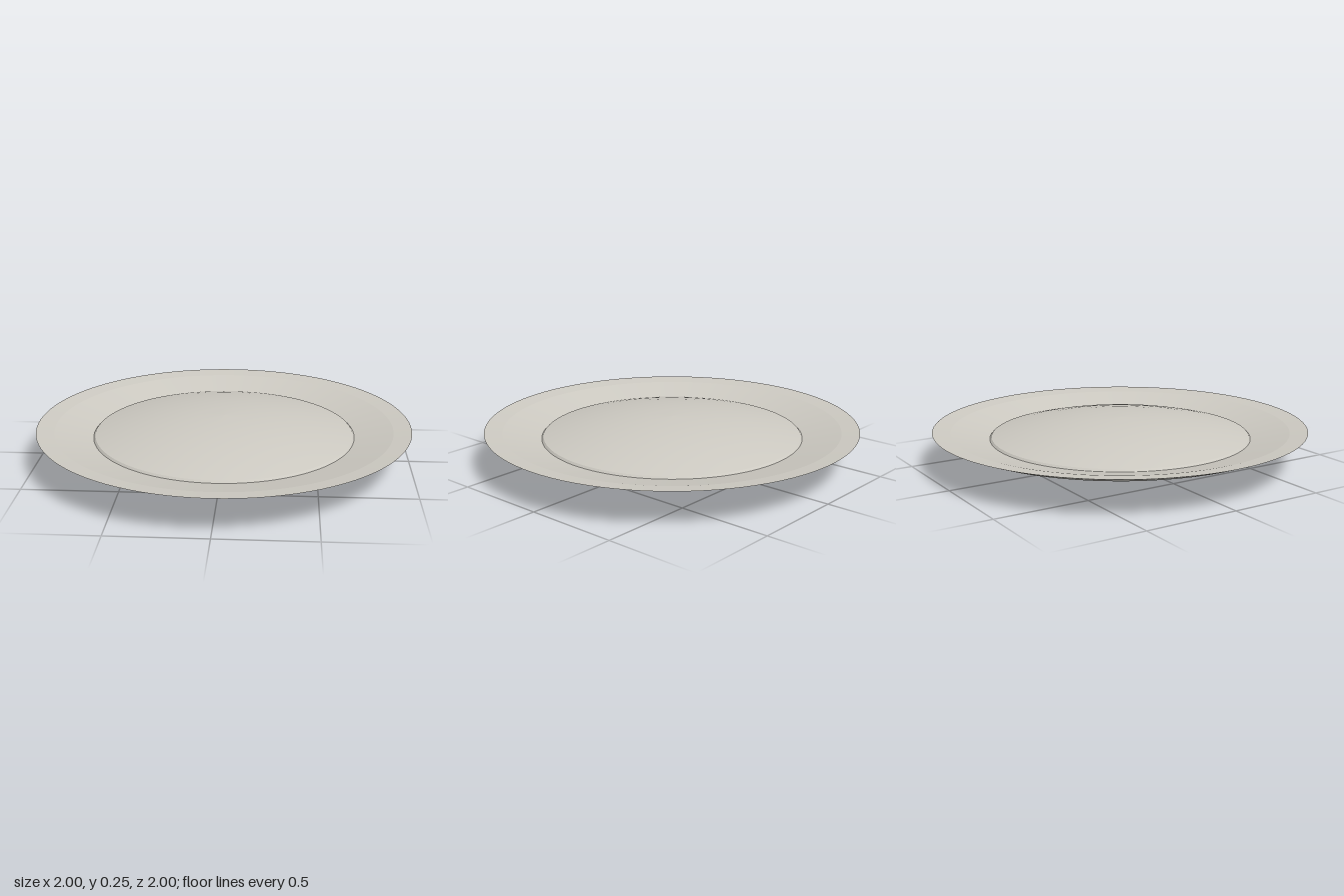
import * as THREE from 'three';

export function createModel() {
  const group = new THREE.Group();
  group.name = 'saucer';
  const ceramic = new THREE.MeshStandardMaterial({ color: 0xcdcac2 });
  ceramic.name = 'warm grey ceramic';

  // Each part is a ring turned around y; profiles run from the base outwards and back over the top.
  const turn = (name, profile) => {
    const points = profile.map(([r, y]) => new THREE.Vector2(r, y));
    const mesh = new THREE.Mesh(new THREE.LatheGeometry(points, 96), ceramic);
    mesh.name = name;
    group.add(mesh);
  };

  // Foot
  turn('footBase', [[0, 0], [0.375, 0]]);
  turn('footWall', [[0.375, 0], [0.39, 0.05]]);

  // Underside
  turn('underside', [[0.39, 0.05], [0.905, 0.163]]);
  turn('rimUnderside', [[0.905, 0.163], [1, 0.2]]);

  // Upper side: shallow rim, sloping well, small step and raised centre
  turn('rimTop', [[1, 0.2], [0.905, 0.19]]);
  turn('well', [[0.905, 0.19], [0.7, 0.145]]);
  turn('domeStep', [[0.7, 0.145], [0.69, 0.156]]);
  const dome = [0.69, 0.6, 0.48, 0.36, 0.24, 0.12, 0].map((r) => [r, 0.245 - 0.187 * r * r]);
  turn('dome', dome);

  return group;
}
